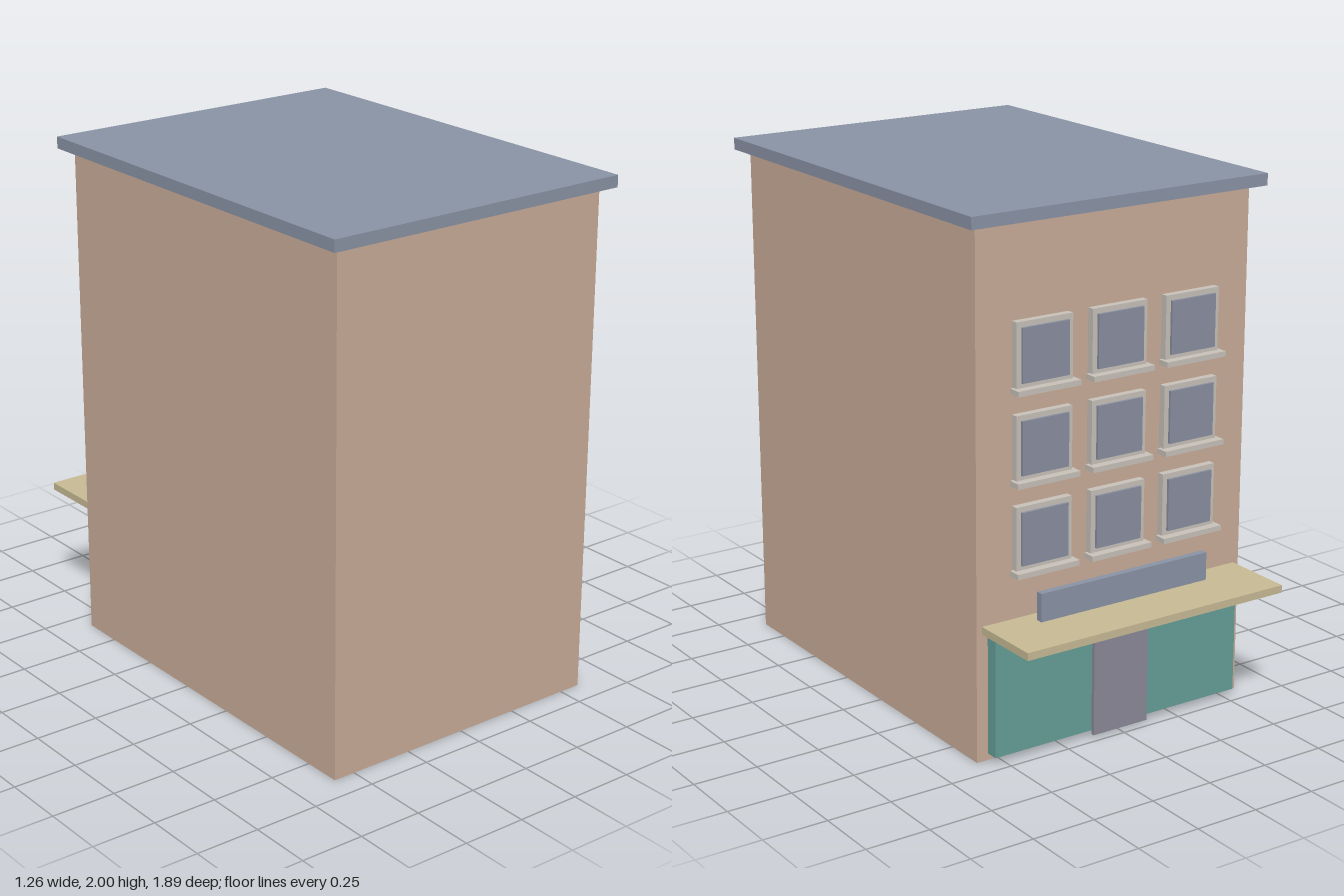
import * as THREE from 'three';

const material = (name, color) => {
  const m = new THREE.MeshStandardMaterial({ color });
  m.name = name;
  return m;
};

export function createModel() {
  const model = new THREE.Group();
  model.name = 'townhouse';

  const plaster = material('plaster', 0xcbae9b);
  const slate = material('slate', 0x8b94a6);
  const teal = material('tealPaint', 0x66a09a);
  const canvas = material('awningTan', 0xc9bc96);
  const stone = material('paleStone', 0xc9c3ba);
  const glass = material('glass', 0x8b91a2);
  const doorPaint = material('doorPaint', 0x8b8a99);

  // Box given by its limits on each axis
  const box = (parent, name, mat, [x0, x1], [y0, y1], [z0, z1]) => {
    const mesh = new THREE.Mesh(new THREE.BoxGeometry(x1 - x0, y1 - y0, z1 - z0), mat);
    mesh.position.set((x0 + x1) / 2, (y0 + y1) / 2, (z0 + z1) / 2);
    mesh.name = name;
    parent.add(mesh);
  };

  // Main block and flat roof
  box(model, 'walls', plaster, [-0.587, 0.587], [0, 1.955], [-0.662, 0.9]);
  box(model, 'roof', slate, [-0.632, 0.632], [1.955, 2], [-0.71, 0.944]);

  // Shop on the street side
  box(model, 'shopfront', teal, [-0.54, 0.54], [0.025, 0.47], [-0.71, -0.662]);
  box(model, 'door', doorPaint, [-0.12, 0.12], [0.01, 0.408], [-0.725, -0.71]);
  box(model, 'awning', canvas, [-0.564, 0.564], [0.488, 0.517], [-0.945, -0.662]);
  box(model, 'signBoard', slate, [-0.368, 0.368], [0.486, 0.624], [-0.745, -0.718]);

  // Three rows of three windows: frame, pane and sill
  for (let row = 0; row < 3; row++) {
    for (let col = -1; col <= 1; col++) {
      const window = new THREE.Group();
      window.name = 'window';
      window.position.set(col * 0.32, 0.822 + row * 0.333, 0);
      box(window, 'windowFrame', stone, [-0.118, 0.118], [-0.119, 0.119], [-0.69, -0.662]);
      box(window, 'windowPane', glass, [-0.098, 0.098], [-0.099, 0.099], [-0.7, -0.69]);
      box(window, 'windowSill', stone, [-0.132, 0.132], [-0.136, -0.116], [-0.722, -0.672]);
      model.add(window);
    }
  }

  return model;
}
